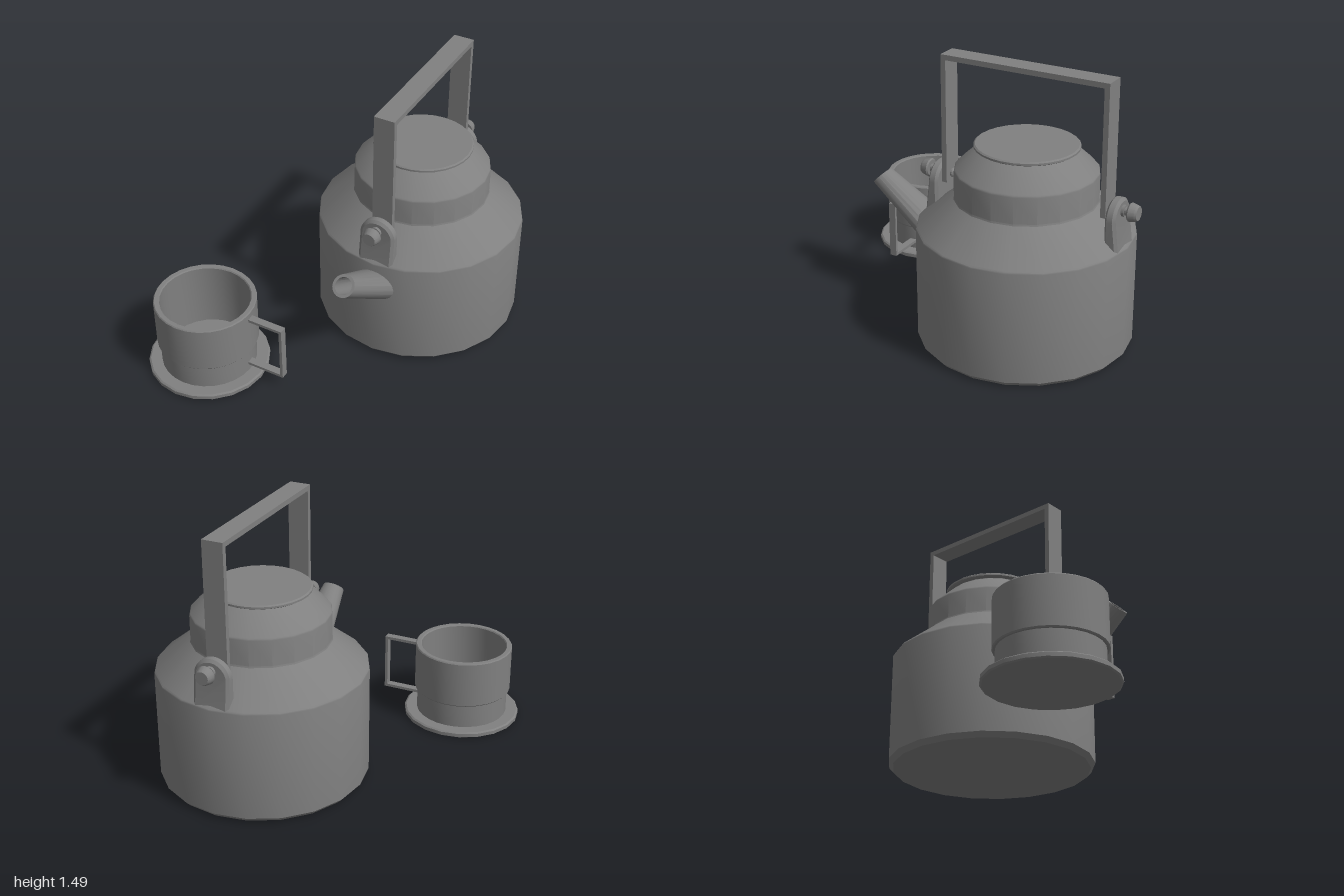
import * as THREE from 'three';
import { toCreasedNormals } from 'three/addons/utils/BufferGeometryUtils.js';

const material = new THREE.MeshStandardMaterial({ color: 0x808080 });

function mesh(name, geometry, x = 0, y = 0, z = 0) {
  const m = new THREE.Mesh(geometry, material);
  m.name = name;
  m.position.set(x, y, z);
  return m;
}

// Turned part: profile of [radius, height] pairs, outside going up
function turned(profile, sides = 20) {
  const points = profile.map(([r, y]) => new THREE.Vector2(r, y));
  return toCreasedNormals(new THREE.LatheGeometry(points, sides), 0.42);
}

function box(name, w, h, d, x, y, z) {
  return mesh(name, new THREE.BoxGeometry(w, h, d), x, y, z);
}

// Tapered spout with a widening oval section and a hollow, slanted mouth at its origin
function spoutGeometry() {
  const geo = new THREE.LatheGeometry(
    [[0.081, -0.5], [0.061, 0], [0.046, 0], [0.046, -0.3], [0, -0.3]].map((p) => new THREE.Vector2(...p)), 20);
  const pos = geo.attributes.position;
  for (let i = 0; i < pos.count; i++) {
    const y = pos.getY(i);
    pos.setX(i, pos.getX(i) * (1 - 1.18 * y));
    if (y > -0.01) pos.setY(i, 0.17 * pos.getZ(i));
  }
  return toCreasedNormals(geo, 0.42).rotateX(0.958);
}

// Round-topped ear, thicker toward its foot; the outer face looks along +z
function bracketGeometry() {
  const r = 0.085;
  const shape = new THREE.Shape();
  shape.moveTo(-r, -0.16);
  shape.lineTo(r, -0.16);
  shape.lineTo(r, 0);
  shape.absarc(0, 0, r, 0, Math.PI, false);
  const geo = new THREE.ExtrudeGeometry(shape, {
    depth: 0.03, curveSegments: 12, bevelEnabled: true,
    bevelSize: 0.015, bevelThickness: 0.013, bevelSegments: 1,
  });
  const pos = geo.attributes.position;
  for (let i = 0; i < pos.count; i++) {
    if (pos.getZ(i) > 0.015) pos.setZ(i, pos.getZ(i) + 0.12 * Math.max(0, -pos.getY(i)));
  }
  return toCreasedNormals(geo, 0.42);
}

// Ear and the bolt holding the handle; z is measured from the kettle axis
function pivot(name) {
  const g = new THREE.Group();
  g.name = name;
  g.add(mesh('bracket', bracketGeometry(), 0, 0.79, 0.492));
  const bolt = turned([
    [0, 0.43], [0.018, 0.43], [0.024, 0.436], [0.024, 0.455], [0.015, 0.46], [0.015, 0.475],
    [0.03, 0.475], [0.03, 0.55], [0.022, 0.55], [0.022, 0.57], [0.044, 0.57], [0.05, 0.578],
    [0.042, 0.61], [0.036, 0.62], [0, 0.62],
  ], 16).rotateX(Math.PI / 2);
  g.add(mesh('bolt', bolt, 0, 0.828, 0));
  return g;
}

function createKettle() {
  const kettle = new THREE.Group();
  kettle.name = 'kettle';
  kettle.position.set(0.262, 0, -0.378);
  // Shoulders and neck have softly rounded corners
  kettle.add(mesh('body', turned([
    [0, 0], [0.545, 0], [0.57, 0.027], [0.57, 0.625], [0.568, 0.632], [0.563, 0.638],
    [0.383, 0.782], [0.376, 0.789], [0.373, 0.798], [0.373, 0.937], [0.371, 0.944], [0.366, 0.95],
    [0.255, 1.052], [0.245, 1.058], [0.245, 1.07], [0, 1.07],
  ])));
  kettle.add(mesh('lid', turned([
    [0, 1.06], [0.264, 1.06], [0.272, 1.065], [0.272, 1.075], [0.264, 1.081], [0, 1.081],
  ], 28)));
  kettle.add(mesh('spout', spoutGeometry(), 0, 0.719, 0.888));

  // Carrying handle
  const handle = new THREE.Group();
  handle.name = 'handle';
  handle.add(box('handleGrip', 0.116, 0.028, 0.938, 0, 1.472, 0.002));
  for (const s of [1, -1]) {
    handle.add(box('handleArm', 0.116, 0.668, 0.028, 0, 1.124, 0.002 + s * 0.455));
  }
  kettle.add(handle);

  const front = pivot('frontPivot');
  const back = pivot('backPivot');
  back.rotation.y = Math.PI;
  kettle.add(front, back);
  return kettle;
}

function createCup() {
  const cup = new THREE.Group();
  cup.name = 'cupAndSaucer';
  cup.position.set(-0.5, 0, 0.665);
  cup.add(mesh('saucer', turned([
    [0, 0], [0.325, 0], [0.334, 0.006], [0.334, 0.026], [0.325, 0.033], [0, 0.033],
  ])));
  // Stepped outer wall, rim, inner wall and floor
  cup.add(mesh('cup', turned([
    [0, 0.03], [0.262, 0.03], [0.262, 0.172], [0.273, 0.172], [0.278, 0.178],
    [0.278, 0.437], [0.273, 0.443], [0.25, 0.443], [0.245, 0.437], [0.245, 0.06], [0, 0.06],
  ], 28)));

  // Square cup handle
  const handle = new THREE.Group();
  handle.name = 'cupHandle';
  handle.position.z = -0.012;
  handle.add(box('upperBar', 0.215, 0.016, 0.042, 0.3715, 0.397, 0));
  handle.add(box('lowerBar', 0.225, 0.016, 0.042, 0.3665, 0.083, 0));
  handle.add(box('uprightBar', 0.016, 0.298, 0.042, 0.471, 0.24, 0));
  cup.add(handle);
  return cup;
}

export function createModel() {
  const model = new THREE.Group();
  model.name = 'teaSet';
  model.add(createKettle(), createCup());
  return model;
}
